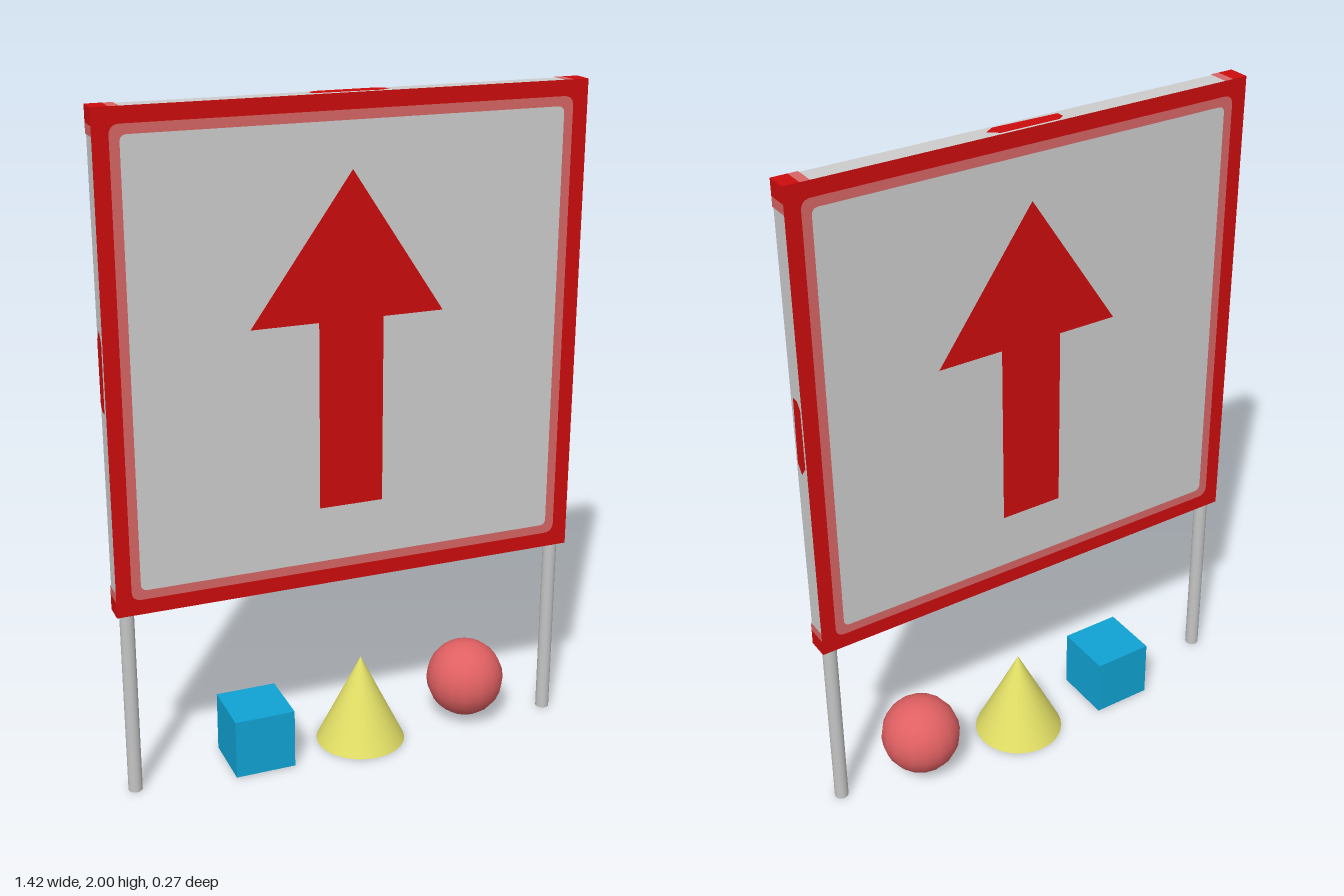
import * as THREE from 'three';

const mat = (name, color) => {
  const m = new THREE.MeshStandardMaterial({ color });
  m.name = name;
  return m;
};

// Rectangle with rounded corners, centred on the origin
function roundRect(target, w, h, r) {
  const x = w / 2, y = h / 2;
  target.moveTo(-x + r, -y);
  target.lineTo(x - r, -y);
  target.quadraticCurveTo(x, -y, x, -y + r);
  target.lineTo(x, y - r);
  target.quadraticCurveTo(x, y, x - r, y);
  target.lineTo(-x + r, y);
  target.quadraticCurveTo(-x, y, -x, y - r);
  target.lineTo(-x, -y + r);
  target.quadraticCurveTo(-x, -y, -x + r, -y);
  return target;
}

function ring(outer, outerR, inner, innerR) {
  const s = roundRect(new THREE.Shape(), outer, outer, outerR);
  s.holes.push(roundRect(new THREE.Path(), inner, inner, innerR));
  return new THREE.ShapeGeometry(s, 6);
}

export function createModel() {
  const model = new THREE.Group();
  model.name = 'roadSign';
  const grey = mat('panel grey', 0xcccccc);
  const red = mat('sign red', 0xcc0c0c);
  const pink = mat('border pink', 0xd66464);
  const steel = mat('post grey', 0xc4c4c4);
  const blue = mat('cube blue', 0x10a3d3);
  const yellow = mat('cone yellow', 0xe2df66);
  const coral = mat('ball coral', 0xe06062);

  const add = (parent, name, geometry, material, x = 0, y = 0, z = 0) => {
    const mesh = new THREE.Mesh(geometry, material);
    mesh.name = name;
    mesh.position.set(x, y, z);
    parent.add(mesh);
    return mesh;
  };

  // Sign board
  const size = 1.42, depth = 0.065, gap = 0.002;
  const board = new THREE.Group();
  board.name = 'signBoard';
  board.position.set(0, 1.29, depth / 2);
  model.add(board);
  add(board, 'panel', new THREE.BoxGeometry(size - 2 * gap, size - 2 * gap, depth - 2 * gap), grey);

  // Painted faces, the same on front and back
  const arrow = new THREE.Shape([
    [0, 0.505], [-0.3, 0.085], [-0.1, 0.085], [-0.1, -0.47],
    [0.093, -0.47], [0.093, 0.085], [0.275, 0.085],
  ].reverse().map(([x, y]) => new THREE.Vector2(x, y)));
  const arrowGeometry = new THREE.ShapeGeometry(arrow);
  const redFrame = ring(size, 0.001, 1.33, 0.03);
  const pinkFrame = ring(1.33, 0.03, 1.275, 0.02);
  for (const [name, turn] of [['frontFace', 0], ['backFace', Math.PI]]) {
    const face = new THREE.Group();
    face.name = name;
    face.rotation.y = turn;
    board.add(face);
    add(face, 'redFrame', redFrame, red, 0, 0, depth / 2);
    add(face, 'pinkFrame', pinkFrame, pink, 0, 0, depth / 2);
    add(face, 'arrow', arrowGeometry, red, 0, 0, depth / 2);
  }

  // Painted edges: red and pink ends with a squashed arrow in the middle
  const edgeMark = new THREE.ShapeGeometry(new THREE.Shape([
    [-0.11, -0.014], [0.09, -0.02], [0.12, 0], [0.09, 0.024], [-0.09, 0.024], [-0.11, 0.01],
  ].map(([x, y]) => new THREE.Vector2(x, y))));
  const redEnd = new THREE.PlaneGeometry(0.047, depth);
  const pinkEnd = new THREE.PlaneGeometry(0.028, depth);
  for (let i = 0; i < 4; i++) {
    const side = new THREE.Group();
    side.name = ['topEdge', 'rightEdge', 'bottomEdge', 'leftEdge'][i];
    side.rotation.z = i * Math.PI / 2;
    board.add(side);
    const strip = new THREE.Group();
    strip.name = 'edgePaint';
    strip.rotation.x = -Math.PI / 2;
    strip.position.y = size / 2;
    side.add(strip);
    for (const s of [-1, 1]) {
      add(strip, 'redEnd', redEnd, red, s * 0.6865, 0, 0);
      add(strip, 'pinkEnd', pinkEnd, pink, s * 0.649, 0, 0);
    }
    add(strip, 'edgeMark', edgeMark, red);
  }

  // Posts
  for (const s of [-1, 1]) {
    add(model, s > 0 ? 'leftPost' : 'rightPost',
      new THREE.CylinderGeometry(0.021, 0.021, 0.58, 20), steel, s * 0.675, 0.29, depth / 2);
  }

  // Solids on the ground
  add(model, 'cube', new THREE.BoxGeometry(0.185, 0.185, 0.185), blue, -0.288, 0.097, 0);
  add(model, 'cone', new THREE.ConeGeometry(0.137, 0.28, 32), yellow, 0.054, 0.14, 0);
  add(model, 'ball', new THREE.SphereGeometry(0.121, 16, 12), coral, 0.41, 0.14, 0);

  return model;
}
